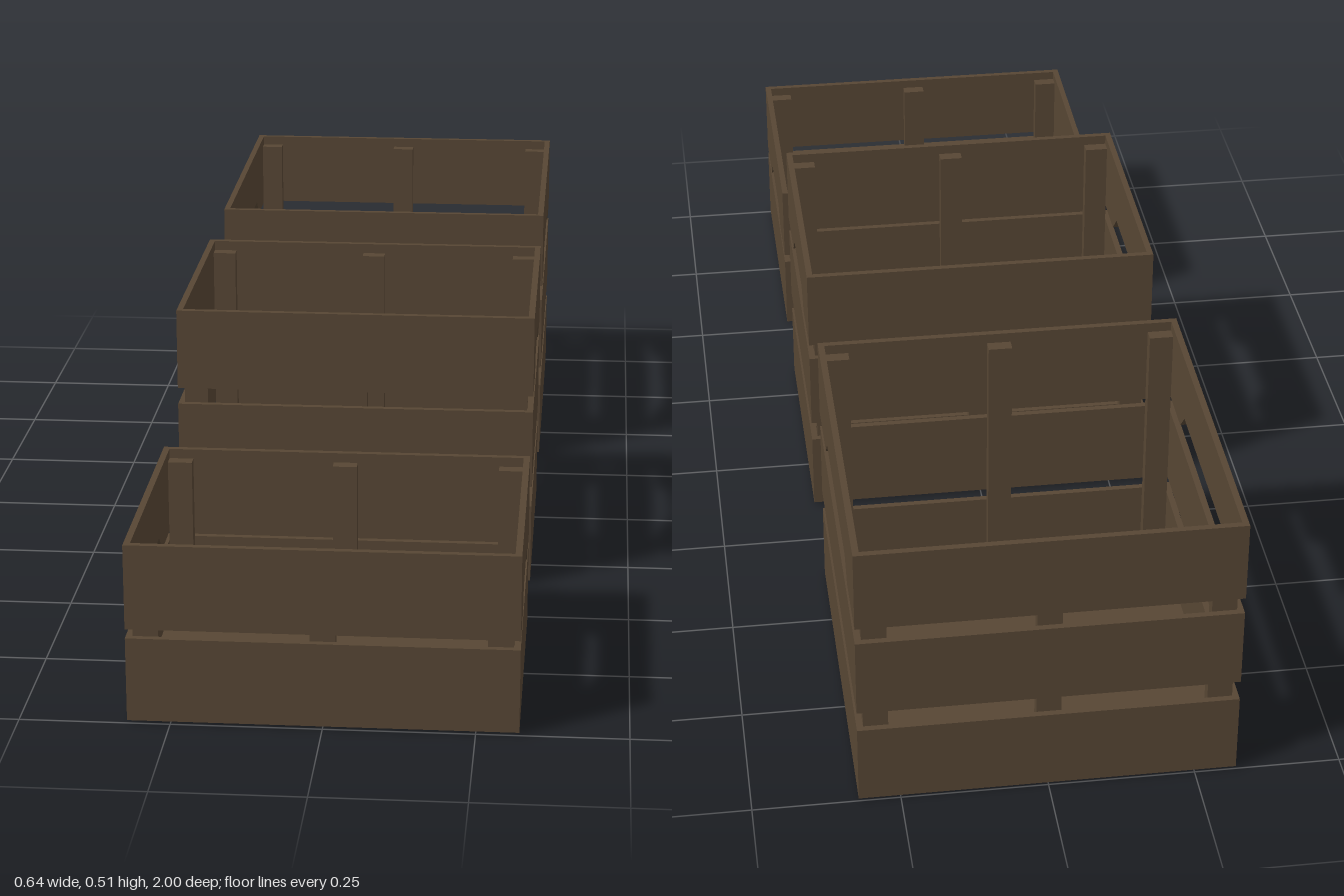
import * as THREE from 'three';

const WALL = 0.011;      // slat thickness
const HALF_X = 0.321;    // half width shared by all crates
const POST_W = 0.042, POST_D = 0.022;

const wood = new THREE.MeshStandardMaterial({ color: 0x574634 });
wood.name = 'dark brown wood';

function box(parent, name, x0, x1, y0, y1, z0, z1) {
  const mesh = new THREE.Mesh(new THREE.BoxGeometry(x1 - x0, y1 - y0, z1 - z0), wood);
  mesh.position.set((x0 + x1) / 2, (y0 + y1) / 2, (z0 + z1) / 2);
  mesh.name = name;
  parent.add(mesh);
}

// Side slat with a trapezoid hand hole cut into its lower edge
function handleSlat(parent, name, x0, y0, y1, halfZ, grip) {
  const shape = new THREE.Shape([
    [-halfZ, y0], [-grip.bottom, y0], [-grip.top, grip.y], [grip.top, grip.y],
    [grip.bottom, y0], [halfZ, y0], [halfZ, y1], [-halfZ, y1],
  ].map(([z, y]) => new THREE.Vector2(z, y)));
  const geometry = new THREE.ExtrudeGeometry(shape, { depth: WALL, bevelEnabled: false });
  geometry.rotateY(Math.PI / 2);
  const mesh = new THREE.Mesh(geometry, wood);
  mesh.position.x = x0;
  mesh.name = name;
  parent.add(mesh);
}

function crate({ name, z, halfZ, rows, postTop, grip }) {
  const group = new THREE.Group();
  group.name = name;
  group.position.z = z;
  const inX = HALF_X - WALL, inZ = halfZ - WALL;

  // Slatted walls; the top row carries the hand holes
  rows.forEach(([y0, y1], i) => {
    box(group, 'frontSlat', -inX, inX, y0, y1, inZ, halfZ);
    box(group, 'backSlat', -inX, inX, y0, y1, -halfZ, -inZ);
    for (const [side, x0] of [['left', inX], ['right', -HALF_X]]) {
      if (i === rows.length - 1) handleSlat(group, side + 'HandleSlat', x0, y0, y1, halfZ, grip);
      else box(group, side + 'Slat', x0, x0 + WALL, y0, y1, -halfZ, halfZ);
    }
  });

  // Three posts inside the front and back walls
  for (const x of [-inX + POST_W / 2, 0, inX - POST_W / 2]) {
    box(group, 'frontPost', x - POST_W / 2, x + POST_W / 2, 0, postTop, inZ - POST_D, inZ);
    box(group, 'backPost', x - POST_W / 2, x + POST_W / 2, 0, postTop, -inZ, -inZ + POST_D);
  }

  // Two floor boards with a narrow gap
  box(group, 'frontFloorBoard', -inX, inX, 0.005, 0.016, 0.006, inZ);
  box(group, 'backFloorBoard', -inX, inX, 0.005, 0.016, -inZ, -0.006);
  return group;
}

export function createModel() {
  const model = new THREE.Group();
  model.name = 'woodenCrates';
  const tallRows = [[0.005, 0.15], [0.187, 0.33], [0.36, 0.506]];
  model.add(
    crate({
      name: 'lowCrate', z: 0.762, halfZ: 0.238, postTop: 0.295,
      rows: [[0.005, 0.15], [0.166, 0.312]], grip: { bottom: 0.118, top: 0.083, y: 0.2 },
    }),
    crate({
      name: 'tallCrate', z: 0.102, halfZ: 0.239, postTop: 0.488,
      rows: tallRows, grip: { bottom: 0.118, top: 0.083, y: 0.395 },
    }),
    crate({
      name: 'largeCrate', z: -0.681, halfZ: 0.319, postTop: 0.488,
      rows: tallRows, grip: { bottom: 0.195, top: 0.162, y: 0.395 },
    }),
  );
  return model;
}
